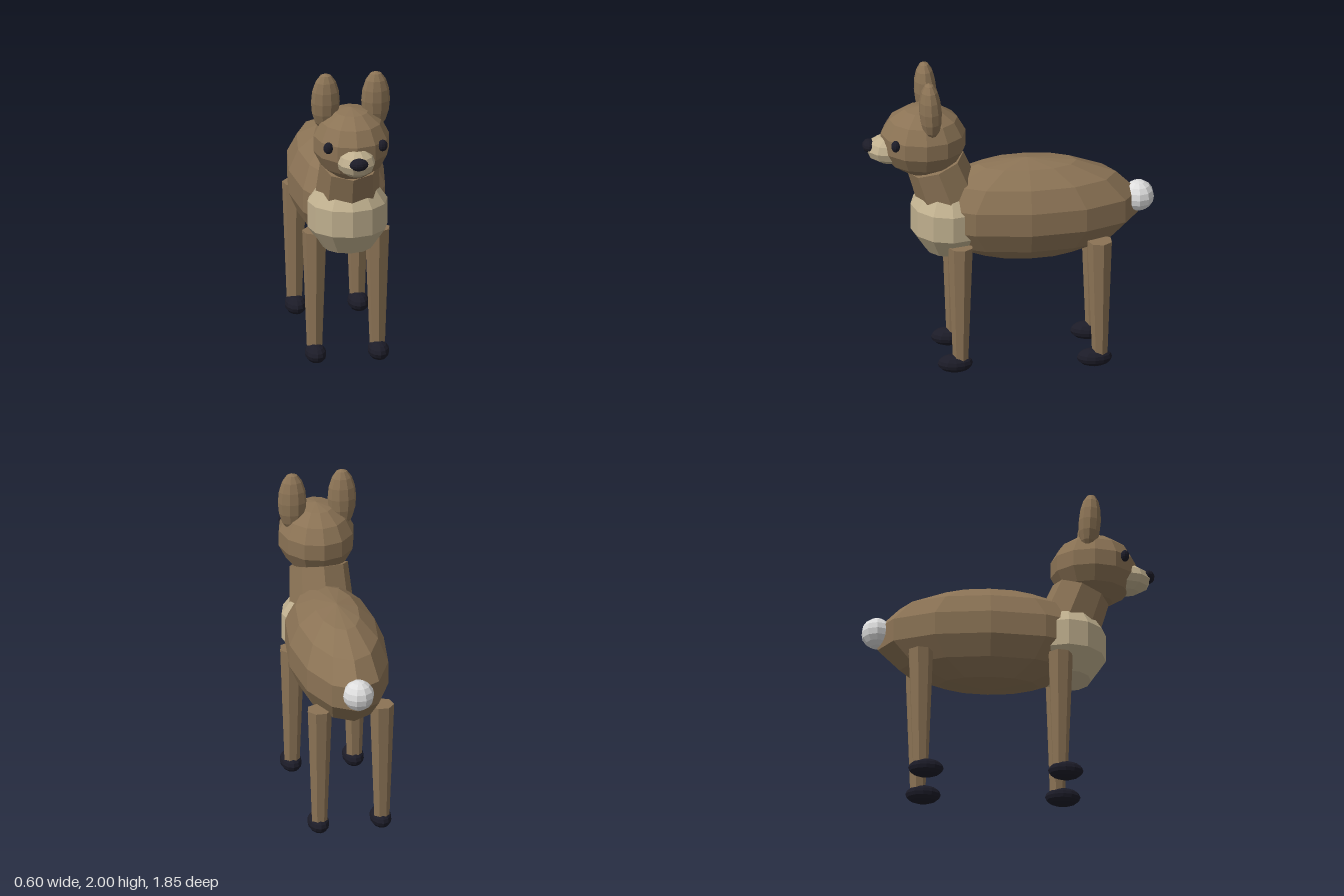
import * as THREE from 'three';

const material = (name, color) => {
  const m = new THREE.MeshStandardMaterial({ color, flatShading: true });
  m.name = name;
  return m;
};

export function createModel() {
  const fur = material('brown fur', 0x8b7355);
  const cream = material('cream fur', 0xbfaf8e);
  const dark = material('dark hoof', 0x1c1c28);
  const white = material('white tail', 0xdedede);

  const model = new THREE.Group();
  model.name = 'fawn';

  const add = (parent, name, geometry, mat, position) => {
    const mesh = new THREE.Mesh(geometry, mat);
    mesh.name = name;
    mesh.position.set(...position);
    parent.add(mesh);
    return mesh;
  };
  // Faceted ellipsoid with its poles up and down
  const blob = (parent, name, mat, position, radii, around = 12, rows = 7) =>
    add(parent, name, new THREE.SphereGeometry(1, around, rows).scale(...radii), mat, position);

  // Trunk
  blob(model, 'body', fur, [0, 1.04, -0.12], [0.31, 0.34, 0.72]);
  blob(model, 'chest', cream, [0, 1.005, 0.375], [0.268, 0.278, 0.258], 12, 5);
  blob(model, 'tail', white, [0, 1.08, -0.825], [0.1, 0.1, 0.1], 10, 8);

  // Neck leans forward from the chest to the head
  const neck = add(model, 'neck', new THREE.CylinderGeometry(0.188, 0.222, 0.5, 8), fur, [0, 1.14, 0.375]);
  neck.rotation.x = 0.35;

  // Head
  const head = new THREE.Group();
  head.name = 'head';
  model.add(head);
  blob(head, 'skull', fur, [0, 1.54, 0.54], [0.246, 0.233, 0.277]);
  blob(head, 'snout', cream, [0, 1.485, 0.745], [0.127, 0.096, 0.16], 10, 6);
  blob(head, 'nose', dark, [0, 1.51, 0.885], [0.06, 0.04, 0.042], 10, 8);

  for (const side of [1, -1]) {
    const label = side > 0 ? 'left' : 'right';
    blob(head, label + 'Eye', dark, [side * 0.173, 1.575, 0.732], [0.032, 0.038, 0.028], 10, 8);
    const ear = blob(head, label + 'Ear', fur, [side * 0.16, 1.805, 0.51], [0.092, 0.195, 0.073], 10, 8);
    ear.rotation.x = 0.05;

    // Tapered legs on oval hooves
    for (const [place, z] of [['Front', 0.322], ['Back', -0.56]]) {
      const leg = new THREE.Group();
      leg.name = label + place + 'Leg';
      leg.position.set(side * 0.2, 0, z);
      model.add(leg);
      add(leg, 'shank', new THREE.CylinderGeometry(0.08, 0.05, 0.79, 7), fur, [0, 0.475, 0]);
      blob(leg, 'hoof', dark, [0, 0.06, 0.035], [0.068, 0.06, 0.112], 12, 8);
    }
  }
  return model;
}
